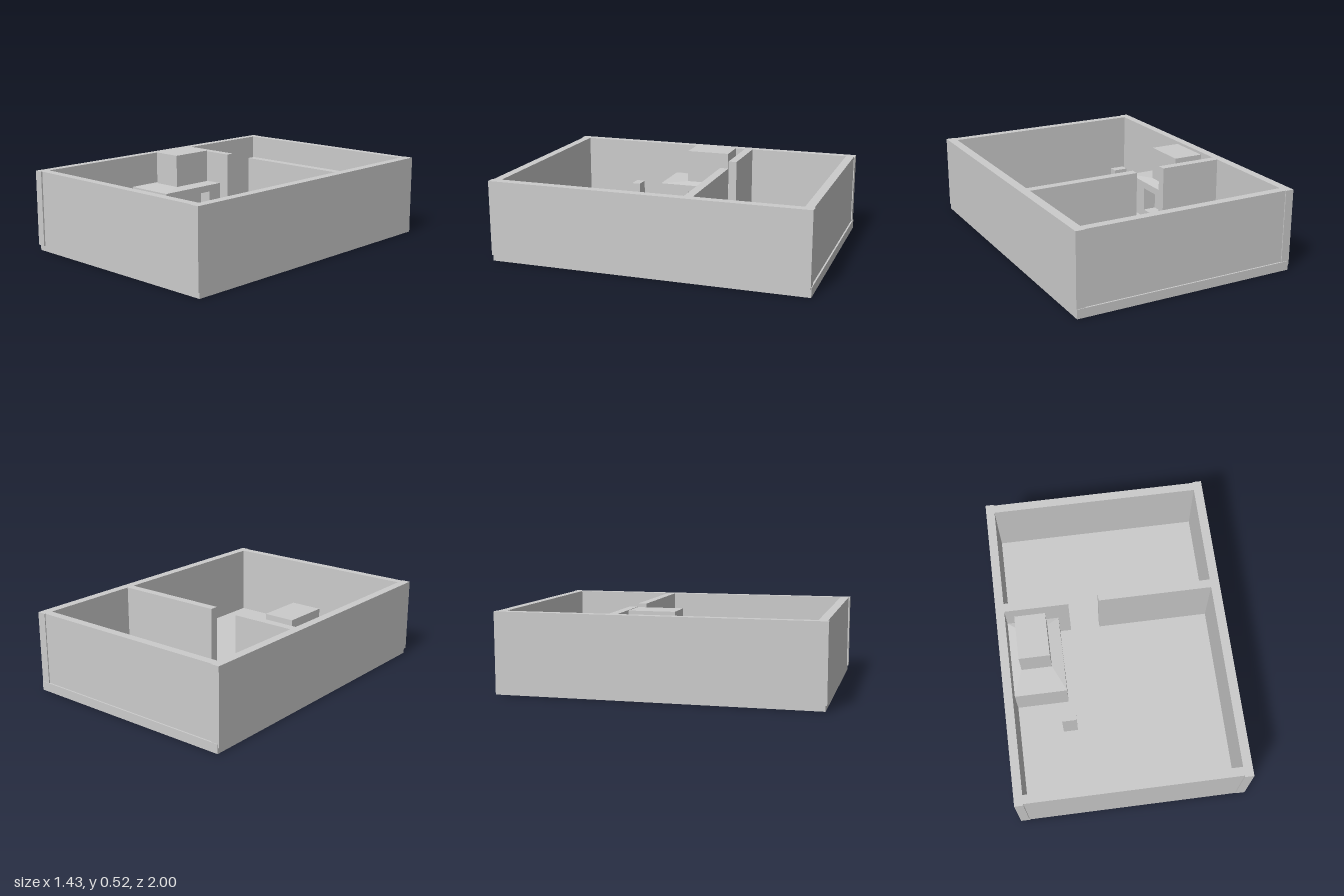
import * as THREE from 'three';

const FLOOR = 0.057, TOP = 0.508;

export function createModel() {
  const model = new THREE.Group();
  model.name = 'roomWithStove';
  const material = new THREE.MeshStandardMaterial({ color: 0xcccccc, flatShading: true });

  const add = (name, geometry, parent = model) => {
    const mesh = new THREE.Mesh(geometry, material);
    mesh.name = name;
    parent.add(mesh);
    return mesh;
  };
  // Box given by its extents along each axis
  const block = (name, [x0, x1], [y0, y1], [z0, z1], parent) => {
    const geometry = new THREE.BoxGeometry(x1 - x0, y1 - y0, z1 - z0);
    geometry.translate((x0 + x1) / 2, (y0 + y1) / 2, (z0 + z1) / 2);
    return add(name, geometry, parent);
  };

  // Floor slab
  block('floorSlab', [-0.706, 0.712], [0, FLOOR], [-1, 0.991]);

  // Outer walls: the side walls run slightly past the end walls
  block('rightWall', [-0.714, -0.66], [0.035, TOP], [-0.996, 1]);
  block('leftWall', [0.657, 0.714], [0.035, TOP], [-0.996, 1]);
  block('frontWall', [-0.66, 0.657], [FLOOR, TOP], [0.937, 0.991]);
  block('backWall', [-0.66, 0.657], [FLOOR, TOP], [-0.99, -0.937]);

  // Partition with a doorway gap
  block('partitionRight', [-0.66, -0.255], [FLOOR, TOP], [-0.288, -0.234]);
  block('partitionLeft', [-0.063, 0.657], [FLOOR, TOP], [-0.288, -0.234]);

  // Stove: solid rear and a pierced front that forms the firebox recess
  const stove = new THREE.Group();
  stove.name = 'stove';
  model.add(stove);
  const z0 = -0.234, z1 = 0.265, x0 = -0.66, x1 = -0.328, recess = 0.085, stoveTop = 0.302;
  block('stoveBody', [x0, x1 - recess], [FLOOR, stoveTop], [z0, z1], stove);

  const rect = (path, a, b, c, d) =>
    path.moveTo(a, c).lineTo(b, c).lineTo(b, d).lineTo(a, d).closePath();
  const face = new THREE.Shape();
  rect(face, -z1, -z0, FLOOR, stoveTop);
  const opening = new THREE.Path();
  rect(opening, -0.071, 0.134, 0.108, 0.258);
  face.holes.push(opening);
  const front = new THREE.ExtrudeGeometry(face, { depth: recess, bevelEnabled: false });
  front.rotateY(Math.PI / 2).translate(x1 - recess, 0, 0);
  add('stoveFront', front, stove);

  // Shallow sloped cap narrowing towards the chimney
  const cx = [-0.6, -0.406], cz = [-0.187, 0.096];
  const cap = new THREE.BoxGeometry(1, 1, 1);
  const p = cap.attributes.position;
  for (let i = 0; i < p.count; i++) {
    const upper = p.getY(i) > 0, hiX = p.getX(i) > 0 ? 1 : 0, hiZ = p.getZ(i) > 0 ? 1 : 0;
    p.setXYZ(i,
      (upper ? cx : [x0, x1])[hiX],
      upper ? 0.312 : stoveTop,
      (upper ? cz : [z0, z1])[hiZ]);
  }
  cap.computeVertexNormals();
  add('stoveCap', cap, stove);
  block('chimney', cx, [0.3, 0.523], cz, stove);

  // Small free-standing post in front of the stove
  block('post', [-0.382, -0.29], [FLOOR, 0.295], [0.407, 0.463]);

  return model;
}
